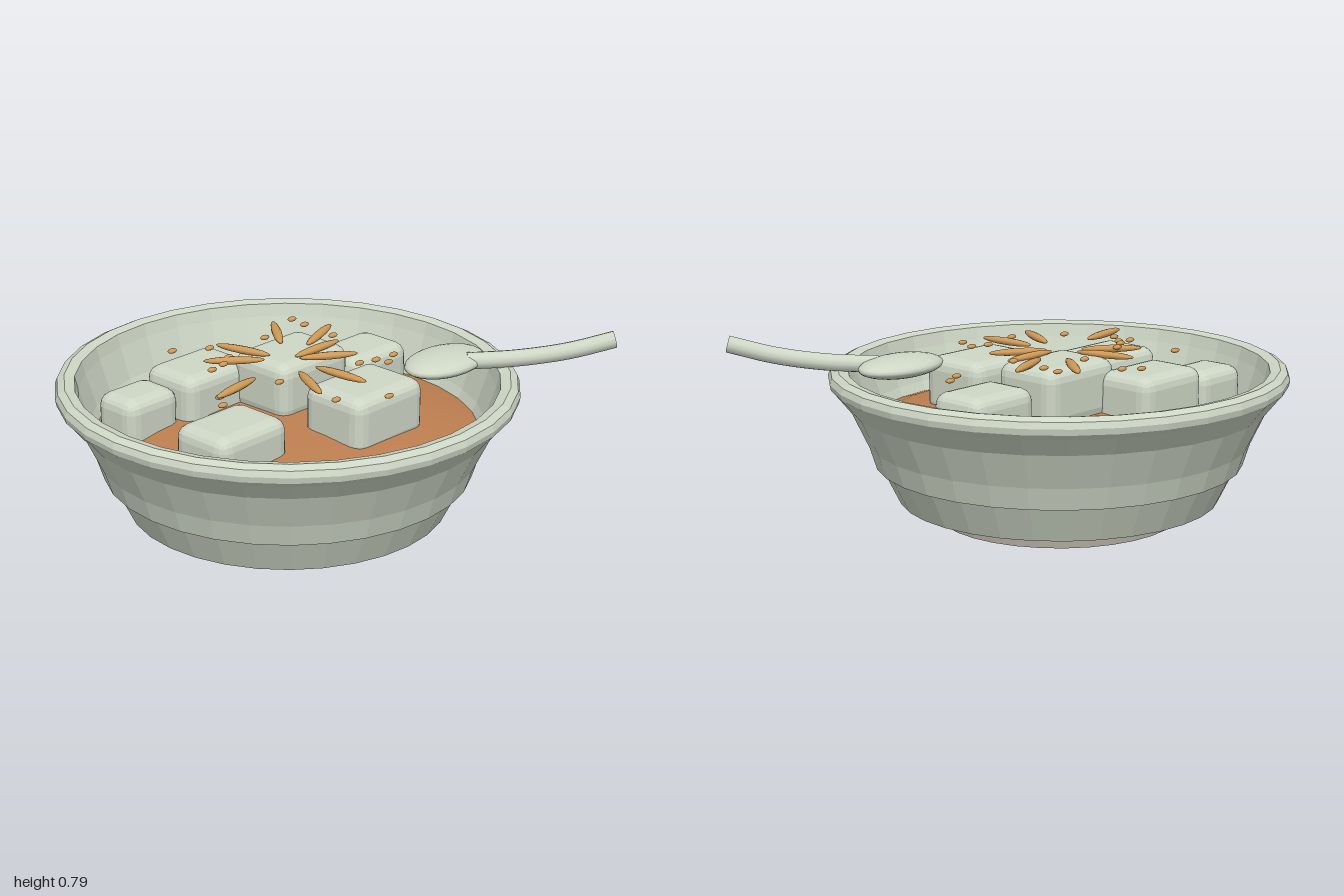
import * as THREE from 'three';
import { RoundedBoxGeometry } from 'three/addons/geometries/RoundedBoxGeometry.js';

const mat = (name, color) => {
  const m = new THREE.MeshStandardMaterial({ color });
  m.name = name;
  return m;
};

// Facet a geometry by giving every face its own normal
function faceted(geometry) {
  const g = geometry.index ? geometry.toNonIndexed() : geometry;
  g.computeVertexNormals();
  return g;
}

const lathe = (points, sides) =>
  new THREE.LatheGeometry(points.map(([r, y]) => new THREE.Vector2(r, y)), sides);

export function createModel() {
  const ceramic = mat('paleCeladon', 0xced7c6);
  const clay = mat('bareClay', 0xb3ada2);
  const broth = mat('brownBroth', 0xbe7f50);
  const toasted = mat('toastedGold', 0xd09a56);

  const model = new THREE.Group();
  model.name = 'bowlOfSoup';
  const add = (parent, name, geometry, material, x = 0, y = 0, z = 0) => {
    const mesh = new THREE.Mesh(geometry, material);
    mesh.name = name;
    mesh.position.set(x, y, z);
    parent.add(mesh);
    return mesh;
  };

  // Bowl, foot and broth share one axis
  const SIDES = 32;
  const bowl = new THREE.Group();
  bowl.name = 'bowl';
  bowl.position.x = -0.041;
  model.add(bowl);

  // Outer wall with a step, rounded rim, then inner wall down to the floor
  const body = lathe([
    [0, 0.045], [0.52, 0.048], [0.675, 0.08], [0.75, 0.235], [0.772, 0.235],
    [0.802, 0.33], [0.872, 0.48], [0.935, 0.558], [0.955, 0.58], [0.96, 0.605],
    [0.95, 0.63], [0.92, 0.645], [0.878, 0.635], [0.865, 0.58], [0.82, 0.44],
    [0.78, 0.36], [0.6, 0.2], [0, 0.14],
  ], SIDES);
  add(bowl, 'bowlBody', faceted(body), ceramic);
  add(bowl, 'foot', faceted(new THREE.CylinderGeometry(0.518, 0.514, 0.052, SIDES)), clay, 0, 0.026);

  // Broth surface, gently domed
  const surface = lathe([[0.802, 0.4], [0.72, 0.425], [0.55, 0.455], [0.3, 0.475], [0, 0.483]], SIDES);
  add(bowl, 'broth', surface, broth);

  // Soft cubes: x range, z range, top height
  const cubes = new THREE.Group();
  cubes.name = 'softCubes';
  model.add(cubes);
  [
    [-0.675, -0.398, -0.482, -0.262, 0.61],
    [-0.4, -0.026, -0.49, -0.207, 0.648],
    [-0.12, 0.284, -0.255, 0.055, 0.697],
    [0.28, 0.623, -0.175, 0.088, 0.625],
    [-0.692, -0.32, 0, 0.288, 0.615],
    [-0.12, 0.284, 0.157, 0.474, 0.662],
  ].forEach(([x0, x1, z0, z1, top]) => {
    const h = 0.25;
    const box = faceted(new RoundedBoxGeometry(x1 - x0, h, z1 - z0, 2, 0.055));
    add(cubes, 'softCube', box, ceramic, (x0 + x1) / 2, top - h / 2, (z0 + z1) / 2);
  });

  // Toasted slivers: start x, z and end x, z
  const garnish = new THREE.Group();
  garnish.name = 'garnish';
  garnish.position.set(0.004, 0, 0.004);
  model.add(garnish);
  [
    [-0.13, -0.34, -0.06, -0.09], [0.23, -0.36, 0.07, -0.155],
    [-0.3, -0.24, -0.11, -0.07], [0.38, -0.16, 0.135, -0.065],
    [0, -0.005, 0.265, -0.005], [0, 0.02, 0.21, 0.155],
    [-0.28, 0.045, -0.535, 0.085], [-0.11, 0.125, -0.22, 0.35],
    [-0.025, 0.135, -0.002, 0.395],
  ].forEach(([x0, z0, x1, z1]) => {
    const length = Math.hypot(x1 - x0, z1 - z0);
    const g = new THREE.SphereGeometry(1, 10, 8).rotateZ(Math.PI / 2).scale(length / 2, 0.016, 0.021);
    const sliver = add(garnish, 'sliver', g, toasted, (x0 + x1) / 2, 0.704, (z0 + z1) / 2);
    sliver.rotation.y = -Math.atan2(z1 - z0, x1 - x0);
  });

  // Scattered seeds: x, z, height
  const seed = new THREE.SphereGeometry(1, 10, 6).scale(0.023, 0.01, 0.015);
  [
    [-0.323, -0.4, 0.713], [-0.115, -0.395, 0.67], [-0.055, -0.342, 0.67],
    [0.055, -0.235, 0.713], [0.297, -0.31, 0.713], [0.286, -0.225, 0.713],
    [0.275, -0.048, 0.713], [-0.355, -0.128, 0.713], [-0.28, -0.14, 0.713],
    [-0.21, -0.182, 0.713], [-0.463, 0.027, 0.67], [-0.515, 0.098, 0.67],
    [-0.26, 0.16, 0.713], [-0.18, 0.395, 0.68], [0.115, 0.25, 0.713],
    [0.19, 0.273, 0.713], [0.366, 0.187, 0.63], [0.446, 0.144, 0.63],
    [0.013, 0.503, 0.67],
  ].forEach(([x, z, y]) => add(garnish, 'seed', seed, toasted, x, y, z));

  // Spoon resting over the rim
  const spoon = new THREE.Group();
  spoon.name = 'spoon';
  model.add(spoon);
  const head = new THREE.SphereGeometry(1, 24, 14).scale(0.206, 0.045, 0.134);
  add(spoon, 'spoonHead', head, ceramic, 0.48, 0.66, 0.404);

  const path = new THREE.CatmullRomCurve3([
    new THREE.Vector3(0.538, 0.665, 0.478),
    new THREE.Vector3(0.684, 0.675, 0.619),
    new THREE.Vector3(0.835, 0.705, 0.769),
    new THREE.Vector3(0.974, 0.755, 0.907),
  ]);
  const R = 0.036;
  add(spoon, 'spoonHandle', new THREE.TubeGeometry(path, 16, R, 12), ceramic);
  [0, 1].forEach((t) => {
    const p = path.getPoint(t);
    const cap = add(spoon, 'handleEnd', new THREE.CircleGeometry(R, 12), ceramic, p.x, p.y, p.z);
    const out = path.getTangent(t).multiplyScalar(t ? 1 : -1);
    cap.quaternion.setFromUnitVectors(new THREE.Vector3(0, 0, 1), out);
  });

  return model;
}
